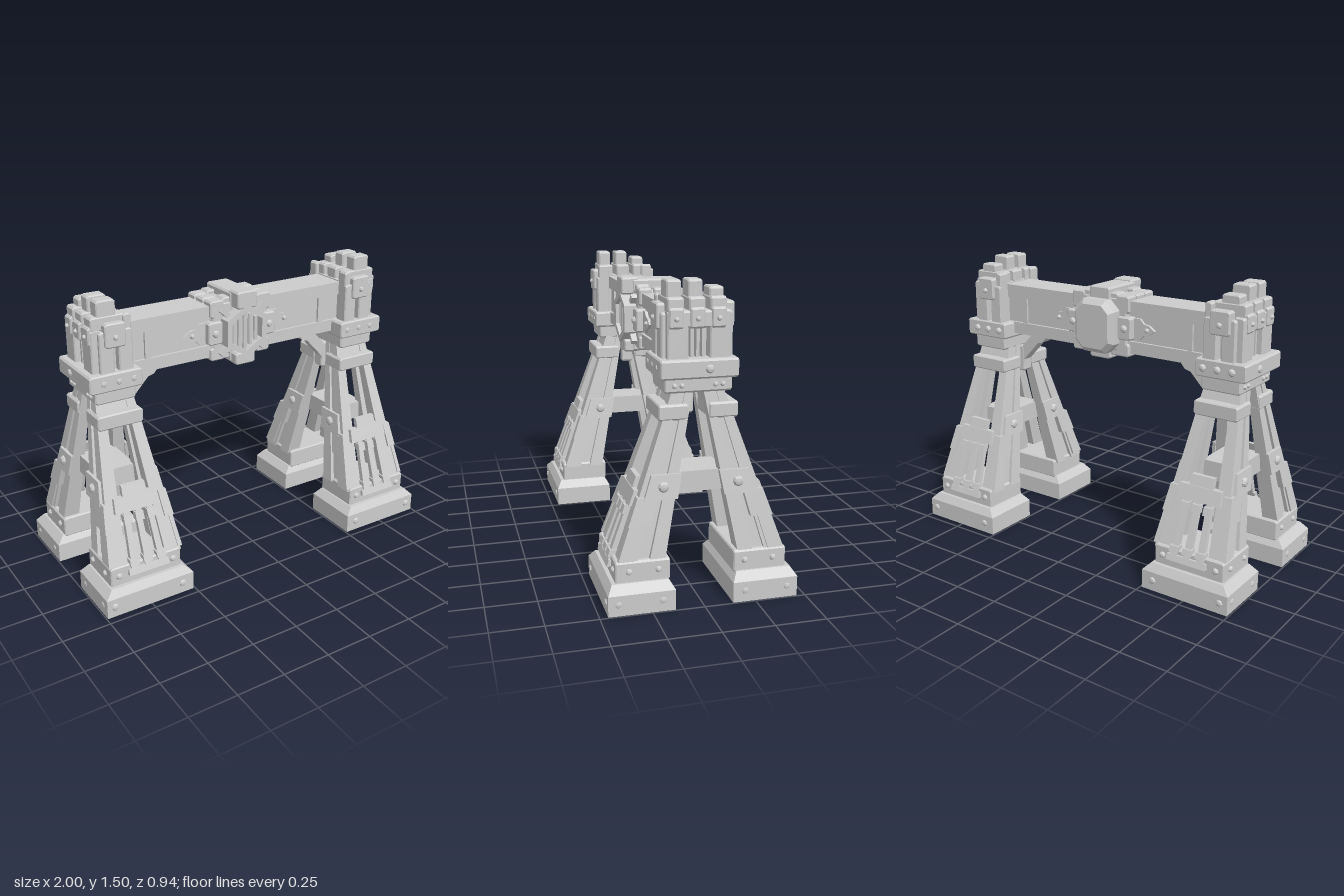
import * as THREE from 'three';

export function createModel() {
  const model = new THREE.Group();
  model.name = 'gantryArch';
  const metal = new THREE.MeshStandardMaterial({ color: 0xcccccc });
  metal.name = 'light grey';

  // Adds a flat-faced copy of a part, repeated for every listed mirror direction.
  function add(name, geo, mirror = '') {
    const flat = geo.index ? geo.toNonIndexed() : geo;
    for (const sx of mirror.includes('x') ? [1, -1] : [1]) {
      for (const sz of mirror.includes('z') ? [1, -1] : [1]) {
        const g = flat.clone().scale(sx, 1, sz);
        if (sx * sz < 0) {
          const p = g.attributes.position, a = new THREE.Vector3(), b = new THREE.Vector3();
          for (let i = 0; i < p.count; i += 3) {
            a.fromBufferAttribute(p, i); b.fromBufferAttribute(p, i + 2);
            p.setXYZ(i, b.x, b.y, b.z); p.setXYZ(i + 2, a.x, a.y, a.z);
          }
        }
        g.computeVertexNormals();
        const mesh = new THREE.Mesh(g, metal);
        mesh.name = name;
        model.add(mesh);
      }
    }
  }

  const polygon = (pts) => new THREE.Shape(pts.map(([x, y]) => new THREE.Vector2(x, y)));
  const hexagon = (r) => [...Array(6).keys()].map((i) => [r * Math.sin(i * Math.PI / 3), r * Math.cos(i * Math.PI / 3)]);
  const plate = (shape, depth, z) => new THREE.ExtrudeGeometry(shape, { depth, bevelEnabled: false }).translate(0, 0, z);
  const box = (x0, x1, y0, y1, z0, z1) =>
    new THREE.BoxGeometry(x1 - x0, y1 - y0, z1 - z0).translate((x0 + x1) / 2, (y0 + y1) / 2, (z0 + z1) / 2);

  // Block with every edge chamfered.
  function block(x0, x1, y0, y1, z0, z1, c = 0.006) {
    const a = x0 + c, b = x1 - c, d = y0 + c, e = y1 - c;
    const s = polygon([[a + c, d], [b - c, d], [b, d + c], [b, e - c], [b - c, e], [a + c, e], [a, e - c], [a, d + c]]);
    return new THREE.ExtrudeGeometry(s, { depth: z1 - z0 - 2 * c, bevelSize: c, bevelThickness: c, bevelSegments: 1 })
      .translate(0, 0, z0 + c);
  }

  // Domed bolt head pointing along an axis.
  function bolt(x, y, z, axis, r = 0.022) {
    const g = new THREE.LatheGeometry([[r, -0.01], [r, 0.004], [r * 0.65, 0.014], [0, 0.017]].map((p) => new THREE.Vector2(...p)), 8);
    if (axis === 'x') g.rotateZ(-Math.PI / 2);
    if (axis === 'z') g.rotateX(Math.PI / 2);
    return g.translate(x, y, z);
  }

  // Leg space: u runs -1..1 across x, w runs 0..1 from inner to outer z, both tapering with height.
  function legPoint(u, y, w) {
    const t = (y - 0.24) / 0.63, mix = THREE.MathUtils.lerp;
    const inner = mix(0.175, 0.052, t), outer = mix(0.395, 0.172, t);
    return [0.742 + u * mix(0.195, 0.118, t), y, inner + w * (outer - inner)];
  }
  function legBox(u0, u1, y0, y1, w0, w1) {
    const g = box(u0, u1, y0, y1, w0, w1), p = g.attributes.position;
    for (let i = 0; i < p.count; i++) p.setXYZ(i, ...legPoint(p.getX(i), p.getY(i), p.getZ(i)));
    return g;
  }

  // Feet, hollow underneath
  const footProfile = [[0, 0.13], [0.82, 0.13], [0.98, 0.095], [0.985, 0], [1, 0], [1, 0.1], [0.84, 0.14], [0, 0.14]];
  const foot = new THREE.LatheGeometry(footProfile.map(([r, y]) => new THREE.Vector2(r * Math.SQRT2, y)), 4)
    .rotateY(Math.PI / 4).scale(0.243, 1, 0.16).translate(0.751, 0, 0.3);
  add('foot', foot, 'xz');
  for (const x of [0.57, 0.95]) add('footBolt', bolt(x, 0.055, 0.453, 'z'), 'xz');
  for (const z of [0.2, 0.41]) add('footBolt', bolt(0.983, 0.055, z, 'x'), 'xz');
  add('ankleCollar', block(0.555, 0.945, 0.13, 0.24, 0.155, 0.415), 'xz');
  for (const x of [0.6, 0.9]) add('ankleBolt', bolt(x, 0.19, 0.412, 'z', 0.018), 'xz');
  for (const z of [0.21, 0.35]) add('ankleBolt', bolt(0.942, 0.19, z, 'x', 0.016), 'xz');

  // Leaning legs: four corner posts with recessed side panels
  for (const s of [-1, 1]) {
    const side = (a, b) => (s > 0 ? [a, b] : [-b, -a]);
    add('legOuterPost', legBox(...side(0.55, 1), 0.22, 1.02, 0.6, 1), 'xz');
    add('legInnerPost', legBox(...side(0.55, 1), 0.22, 1.02, 0, 0.34), 'xz');
    add('legSidePanel', legBox(...side(0.78, 0.9), 0.22, 0.98, 0.3, 0.65), 'xz');
    // knee plates and wrapped brackets
    add('kneePlate', legBox(...side(0.98, 1.1), 0.515, 0.63, -0.05, 0.86), 'xz');
    add('shinBracket', legBox(...side(0.8, 1.08), 0.4, 0.53, 0.5, 1.06), 'xz');
    add('shinGuard', legBox(...side(0.93, 1.05), 0.24, 0.42, 0.68, 1.03), 'xz');
    const [bx, by, bz] = legPoint(s * 1.1, 0.575, 0.42);
    const knee = bolt(0, 0, 0, 'x', 0.026);
    if (s < 0) knee.rotateY(Math.PI);
    add('kneeBolt', knee.translate(bx, by, bz), 'xz');
  }
  add('legTopPlate', legBox(-0.95, 0.95, 0.92, 1.02, 0.1, 0.95), 'xz');
  add('kneeCrossBar', box(0.65, 0.85, 0.52, 0.62, -0.13, 0.13), 'x');

  // Grille on the shin
  add('grilleTopPlate', legBox(-0.74, 0.74, 0.48, 0.55, 0.94, 1.12), 'xz');
  add('grilleTopTab', legBox(-0.42, 0.42, 0.55, 0.6, 0.96, 1.1), 'xz');
  add('grilleBottomBar', legBox(-0.55, 0.55, 0.185, 0.215, 1, 1.1), 'xz');
  for (const u of [-0.38, 0, 0.38]) {
    add('grilleBar', legBox(u - 0.09, u + 0.09, 0.19, 0.5, 0.97, 1.1), 'xz');
    add('grilleClip', legBox(u - 0.13, u + 0.13, 0.43, 0.47, 0.98, 1.16), 'xz');
    add('grilleClip', legBox(u - 0.13, u + 0.13, 0.23, 0.26, 0.98, 1.14), 'xz');
  }

  // Leg collars and shoulder
  add('legCollar', block(0.62, 0.865, 0.87, 0.945, 0.05, 0.19), 'xz');
  add('shoulder', block(0.64, 0.857, 0.995, 1.08, -0.16, 0.16), 'x');
  for (const z of [0.08, 0.115]) add('shoulderBolt', bolt(0.853, 1.03, z, 'x', 0.013), 'xz');
  add('capBlock', block(0.615, 0.895, 1.065, 1.155, -0.18, 0.19), 'x');
  for (const x of [0.66, 0.74, 0.82]) add('capBolt', bolt(x, 1.11, 0.18, 'z', 0.02), 'xz');
  add('capBolt', bolt(0.89, 1.11, -0.04, 'x'), 'x');

  // Upper tower gripping the beam
  add('towerCore', box(0.66, 0.8, 1.14, 1.37, -0.13, 0.13), 'x');
  for (const x of [0.65, 0.75]) add('towerSidePost', block(x, x + 0.075, 1.14, 1.36, 0.1, 0.17), 'xz');
  add('towerCornerPost', block(0.79, 0.86, 1.14, 1.32, 0.05, 0.15), 'xz');
  for (const z of [-0.027, 0, 0.027]) add('towerGrilleBar', box(0.79, 0.835, 1.14, 1.31, z - 0.008, z + 0.008), 'x');
  add('towerBand', block(0.8, 0.86, 1.29, 1.37, -0.15, 0.15), 'x');
  add('towerSideBlock', block(0.69, 0.8, 1.28, 1.4, 0.13, 0.185), 'xz');
  add('towerBolt', bolt(0.745, 1.33, 0.182, 'z', 0.015), 'xz');
  add('towerSidePin', block(0.65, 0.69, 1.34, 1.43, 0.1, 0.16), 'xz');
  [[0.11, 1.505], [0.01, 1.505], [-0.09, 1.47]].forEach(([z, top]) => {
    add('towerPost', block(0.72, 0.82, 1.3, top, z - 0.034, z + 0.034), 'x');
    add('towerPostClamp', block(0.78, 0.87, 1.29, 1.385, z - 0.034, z + 0.034), 'x');
    add('towerPostSaddle', block(0.67, 0.855, 1.36, 1.43, z - 0.038, z + 0.038), 'x');
    add('clampBolt', bolt(0.867, 1.335, z, 'x', 0.013), 'x');
  });

  // Main beam with flanges and ribs
  add('beamWeb', box(-0.75, 0.75, 1.12, 1.32, -0.085, 0.085));
  add('beamTopFlange', box(-0.75, 0.75, 1.295, 1.365, -0.1, 0.1));
  add('beamBottomFlange', box(-0.75, 0.75, 1.09, 1.155, -0.1, 0.1));
  add('beamRib', box(0.52, 0.55, 1.15, 1.3, 0.07, 0.097), 'xz');

  // Corner braces under the beam
  const brace = polygon([[0.42, 1.1], [0.52, 1.1], [0.64, 0.98], [0.64, 0.86], [0.615, 0.87], [0.61, 0.92], [0.505, 1.03], [0.47, 1.04]]);
  add('cornerBrace', plate(brace, 0.06, -0.03), 'x');
  add('braceMount', block(0.61, 0.67, 0.85, 1.0, -0.032, 0.032), 'x');

  // Centre housing with straps
  add('centreBody', block(-0.17, 0.17, 1.09, 1.38, -0.115, 0.115, 0.012));
  add('centreVerticalStrap', block(-0.065, 0.065, 1.045, 1.425, -0.12, 0.12));
  add('centreTopCap', block(-0.06, 0.06, 1.345, 1.435, 0.09, 0.18));
  add('centreBottomCap', block(-0.06, 0.06, 1.04, 1.105, 0.09, 0.165));
  for (const z of [-0.075, 0.075]) add('centreTopStrap', block(-0.11, 0.11, 1.07, 1.4, z - 0.035, z + 0.035));
  add('centreSideClamp', block(0.12, 0.205, 1.165, 1.285, -0.135, 0.135), 'x');
  for (const z of [-0.08, 0, 0.08]) {
    add('centreCornerClamp', block(0.1, 0.182, 1.3, 1.39, z - 0.035, z + 0.035), 'x');
    add('centreCornerClamp', block(0.1, 0.182, 1.07, 1.14, z - 0.035, z + 0.035), 'x');
  }
  add('clampBolt', bolt(0.165, 1.225, 0.135, 'z', 0.02), 'xz');
  const tab = polygon([[0.17, 1.17], [0.24, 1.17], [0.265, 1.195], [0.295, 1.2], [0.33, 1.225], [0.295, 1.25], [0.265, 1.255], [0.24, 1.28], [0.17, 1.28]]);
  add('pointedTab', plate(tab, 0.02, 0.08), 'xz');
  add('tabBolt', bolt(0.285, 1.225, 0.1, 'z', 0.013), 'xz');

  // Hexagonal front grille
  const hexFrame = polygon(hexagon(0.138));
  hexFrame.holes.push(new THREE.Path(hexagon(0.105).reverse().map((p) => new THREE.Vector2(...p))));
  add('hexFrame', plate(hexFrame, 0.07, 0.11).translate(0, 1.225, 0));
  add('hexBacking', plate(polygon(hexagon(0.12)), 0.015, 0.11).translate(0, 1.225, 0));
  for (const x of [-0.066, -0.033, 0, 0.033, 0.066]) {
    const h = 0.103 - Math.abs(x) * 0.58;
    add('hexBar', new THREE.CylinderGeometry(0.012, 0.012, 2 * h, 8).translate(x, 1.225, 0.152));
  }
  for (const a of [-1, 1]) {
    for (const y of [-0.18, 0.12]) {
      add('hexLug', box(-0.013, 0.013, y, y + 0.06, 0.11, 0.145).rotateZ(a * 0.82).translate(0, 1.225, 0));
    }
  }

  // Bevelled back cover
  const cover = polygon([[-0.1, 1.15], [-0.06, 1.11], [0.06, 1.11], [0.1, 1.15], [0.1, 1.3], [0.06, 1.34], [-0.06, 1.34], [-0.1, 1.3]]);
  add('backCover', new THREE.ExtrudeGeometry(cover, { depth: 0.05, bevelSize: 0.025, bevelThickness: 0.025, bevelSegments: 1 })
    .translate(0, 0, -0.165));

  return model;
}
